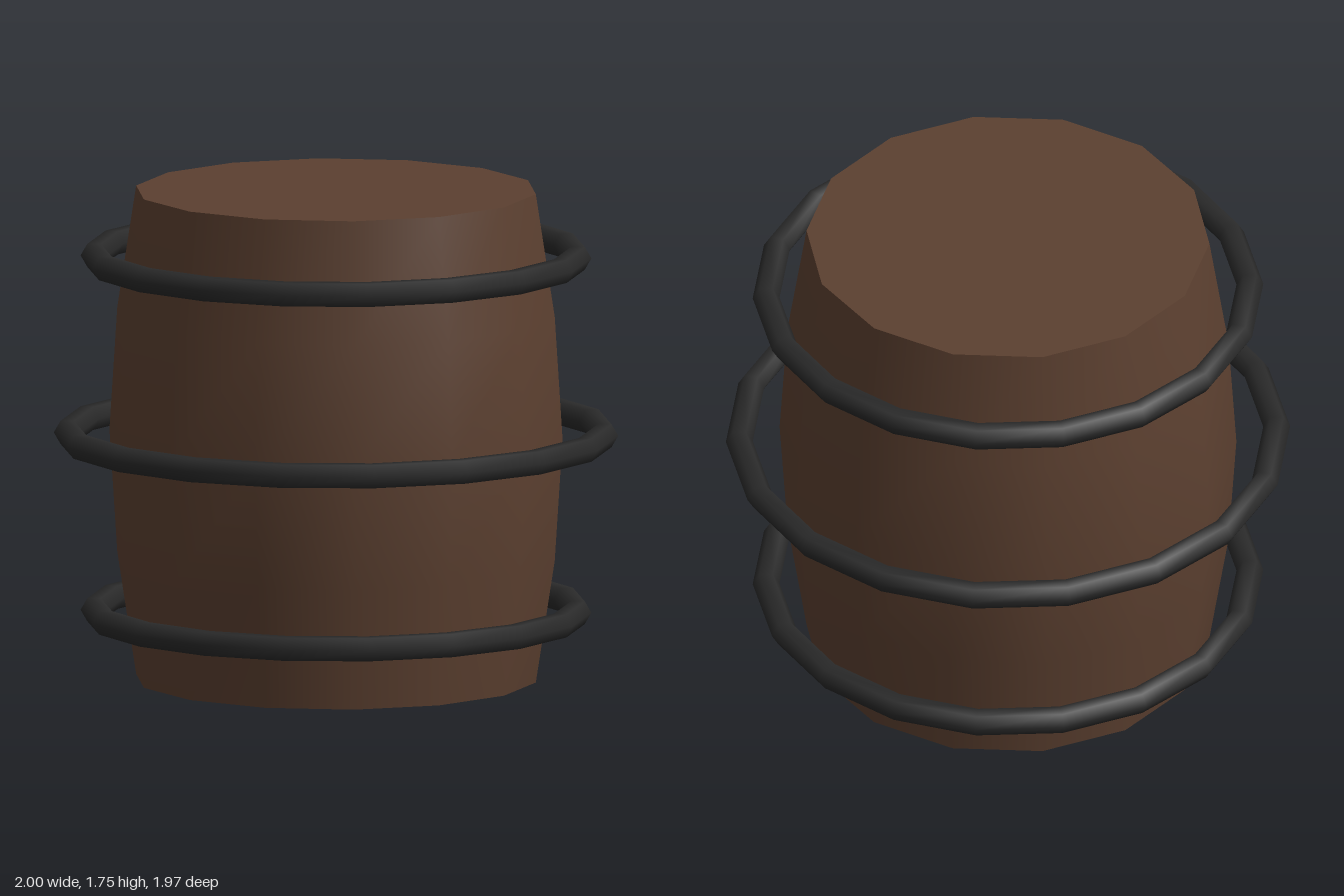
import * as THREE from 'three';

const HEIGHT = 1.75;
const END_RADIUS = 0.714;
const BULGE = 0.0955;

// Closed cylinder whose wall swells towards the middle
function barrelGeometry() {
  const geometry = new THREE.CylinderGeometry(1, 1, HEIGHT, 14, 4);
  geometry.rotateY(Math.PI / 2);
  const p = geometry.attributes.position;
  for (let i = 0; i < p.count; i++) {
    const t = p.getY(i) / HEIGHT + 0.5;
    const r = END_RADIUS + BULGE * Math.sin(Math.PI * t);
    p.setX(i, p.getX(i) * r);
    p.setZ(i, p.getZ(i) * r);
  }
  geometry.computeVertexNormals();
  return geometry;
}

export function createModel() {
  const wood = new THREE.MeshStandardMaterial({ color: 0x5c4030 });
  wood.name = 'dark wood';
  const iron = new THREE.MeshStandardMaterial({ color: 0x2a2a2a });
  iron.name = 'black iron';

  const model = new THREE.Group();
  model.name = 'barrel';

  // Wooden body
  const body = new THREE.Mesh(barrelGeometry(), wood);
  body.name = 'barrelBody';
  body.position.y = HEIGHT / 2;
  model.add(body);

  // Iron hoops, hexagonal in section, standing clear of the body
  const hoops = [
    ['lowerHoop', 0.857, 0.24],
    ['middleHoop', 0.952, 0.875],
    ['upperHoop', 0.857, 1.51],
  ];
  for (const [name, radius, y] of hoops) {
    const geometry = new THREE.TorusGeometry(radius, 0.0476, 6, 18);
    geometry.rotateX(Math.PI / 2);
    const hoop = new THREE.Mesh(geometry, iron);
    hoop.name = name;
    hoop.position.y = y;
    model.add(hoop);
  }
  return model;
}
